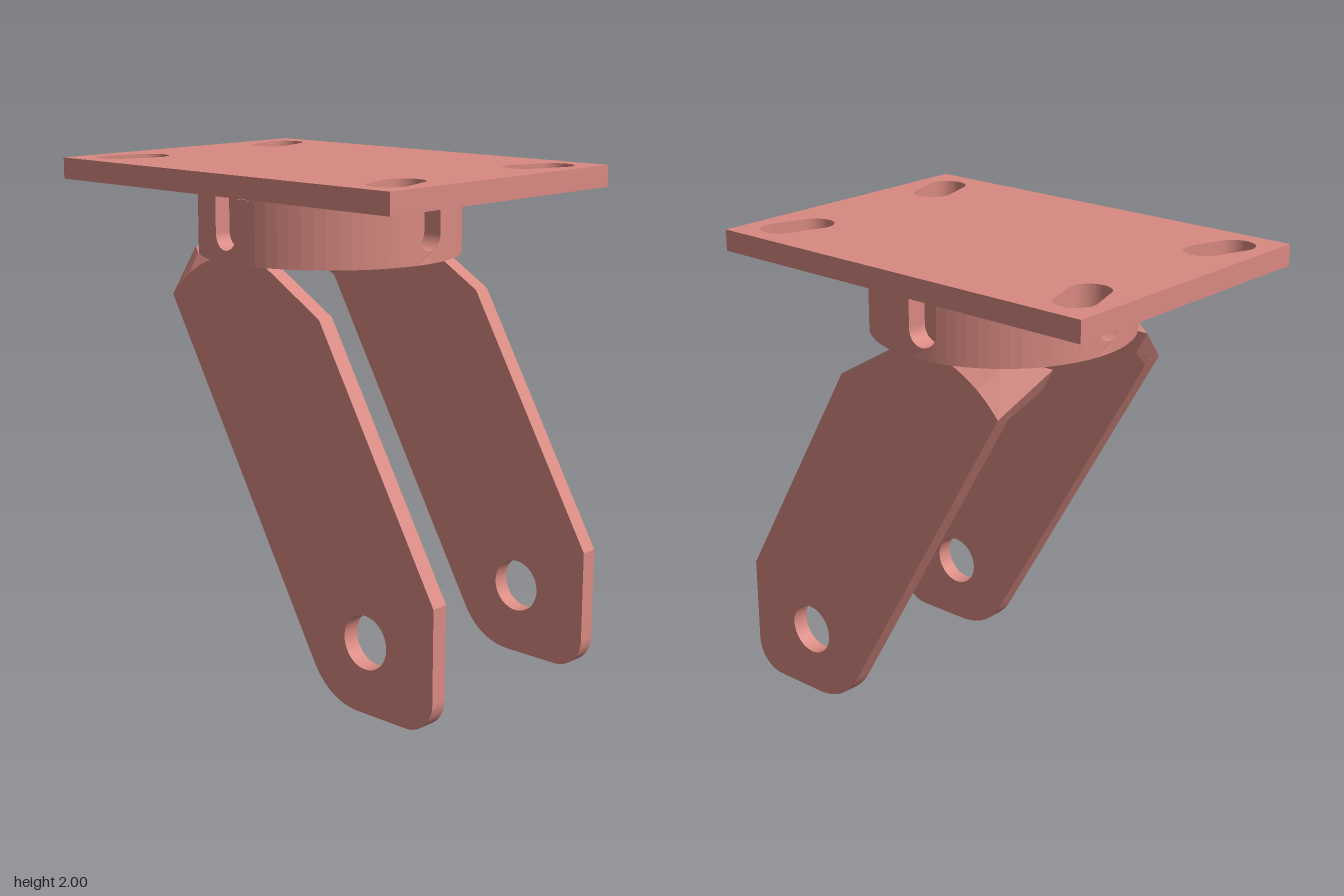
import * as THREE from 'three';
import { ConvexGeometry } from 'three/addons/geometries/ConvexGeometry.js';

const material = new THREE.MeshStandardMaterial({ color: 0xd98a82 });
const CX = -0.05; // swivel axis

function add(parent, name, geometry) {
  const mesh = new THREE.Mesh(geometry, material);
  mesh.name = name;
  parent.add(mesh);
  return mesh;
}

// Extrude a plan drawn in (x, z) downwards from height top
function slab(shape, top, thickness) {
  return new THREE.ExtrudeGeometry(shape, { depth: thickness, bevelEnabled: false, curveSegments: 16 })
    .rotateX(Math.PI / 2).translate(0, top, 0);
}

// Rounded slot outline between two end centres
function slotPath(x1, y1, x2, y2, r) {
  const a = Math.atan2(y2 - y1, x2 - x1);
  const path = new THREE.Path();
  path.absarc(x2, y2, r, a - Math.PI / 2, a + Math.PI / 2, false);
  path.absarc(x1, y1, r, a + Math.PI / 2, a + Math.PI * 1.5, false);
  path.closePath();
  return path;
}

// Mounting plate with four slanted bolt slots
function plateGeometry() {
  const x0 = -0.935, x1 = 0.835, z = 0.632;
  const shape = new THREE.Shape([[x0, -z], [x1, -z], [x1, z], [x0, z]].map(p => new THREE.Vector2(...p)));
  for (const sx of [-1, 1]) for (const sz of [-1, 1]) {
    shape.holes.push(slotPath(CX + sx * 0.738, sz * 0.478, CX + sx * 0.693, sz * 0.343, 0.08));
  }
  return slab(shape, 2, 0.085);
}

// Swivel drum: a disc with four U-shaped notches cut down from its rim
function buildDrum(group) {
  const R = 0.525, depth = 0.085, w = 0.0625, bottom = 1.645, top = 1.895;
  const offsets = [0, 0.055, 0, -0.055];
  const points = [];
  offsets.forEach((o, k) => {
    const t = k * Math.PI / 2;
    const put = (u, v) => points.push(new THREE.Vector2(
      CX + u * Math.cos(t) - v * Math.sin(t), u * Math.sin(t) + v * Math.cos(t)));
    put(R - depth, o - w);
    put(R - depth, o + w);
    const a0 = Math.asin((o + w) / R);
    const a1 = Math.PI / 2 + Math.asin((offsets[(k + 1) % 4] - w) / R);
    for (let i = 0; i <= 16; i++) {
      const a = a0 + (a1 - a0) * i / 16;
      put(R * Math.cos(a), R * Math.sin(a));
    }
  });
  add(group, 'swivelDrum', slab(new THREE.Shape(points), top, top - bottom));

  // Rounded floor of each notch, its outer face following the rim
  offsets.forEach((o, k) => {
    const yc = 1.755, c = -o;
    const shape = new THREE.Shape();
    shape.moveTo(c - w, bottom);
    for (let i = 1; i <= 4; i++) shape.lineTo(c - w + w * i / 2, bottom);
    shape.lineTo(c + w, yc);
    shape.absarc(c, yc, w, 0, -Math.PI, true);
    const geo = new THREE.ExtrudeGeometry(shape, { depth, bevelEnabled: false, curveSegments: 16 });
    const pos = geo.attributes.position;
    for (let i = 0; i < pos.count; i++) {
      pos.setZ(i, pos.getZ(i) > depth / 2 ? Math.sqrt(R * R - pos.getX(i) ** 2) : R - depth);
    }
    geo.computeVertexNormals();
    geo.rotateY(Math.PI / 2 - k * Math.PI / 2).translate(CX, 0, 0);
    add(group, 'drumNotchFloor', geo);
  });
}

// Slanted fork leg with axle hole
function legGeometry() {
  const s = new THREE.Shape();
  s.moveTo(0.57, 0);
  s.lineTo(0.8, 0);
  s.absarc(0.8, 0.13, 0.13, -Math.PI / 2, 0, false);
  s.lineTo(0.93, 0.495);
  s.lineTo(0.36, 1.48);
  s.lineTo(0.08, 1.645);
  s.lineTo(-0.22, 1.645);
  s.quadraticCurveTo(-0.36, 1.59, -0.447, 1.483);
  s.lineTo(0.33, 0.14);
  s.quadraticCurveTo(0.41, 0, 0.57, 0);
  const hole = new THREE.Path();
  hole.absarc(0.597, 0.283, 0.106, 0, Math.PI * 2, true);
  s.holes.push(hole);
  return new THREE.ExtrudeGeometry(s, { depth: 0.07, bevelEnabled: false, curveSegments: 24 });
}

// Corner web that folds the leg inwards under the drum
function webGeometry(side) {
  const corners = [
    [-0.22, 1.645, 0.49], [-0.347, 1.577, 0.49], [-0.447, 1.483, 0.49], // fold on the outer face
    [-0.39, 1.645, 0.405], [-0.535, 1.645, 0.285],                      // top edge
    [-0.486, 1.555, 0.285], [-0.433, 1.46, 0.42],                       // lower inner edge
    [-0.43, 1.645, 0.285], [-0.22, 1.645, 0.42],                        // inner top
  ];
  return new ConvexGeometry(corners.map(([x, y, z]) => new THREE.Vector3(x, y, z * side)));
}

export function createModel() {
  const model = new THREE.Group();
  model.name = 'swivelCasterFork';

  add(model, 'mountingPlate', plateGeometry());
  add(model, 'swivelPin', new THREE.CylinderGeometry(0.007, 0.007, 0.03, 12)).position.set(CX, 1.905, 0);

  const drum = new THREE.Group();
  drum.name = 'drum';
  buildDrum(drum);
  model.add(drum);

  for (const side of [1, -1]) {
    const leg = new THREE.Group();
    leg.name = side > 0 ? 'frontLeg' : 'backLeg';
    add(leg, 'legPlate', legGeometry()).position.z = side > 0 ? 0.42 : -0.49;
    add(leg, 'legWeb', webGeometry(side));
    model.add(leg);
  }
  return model;
}
